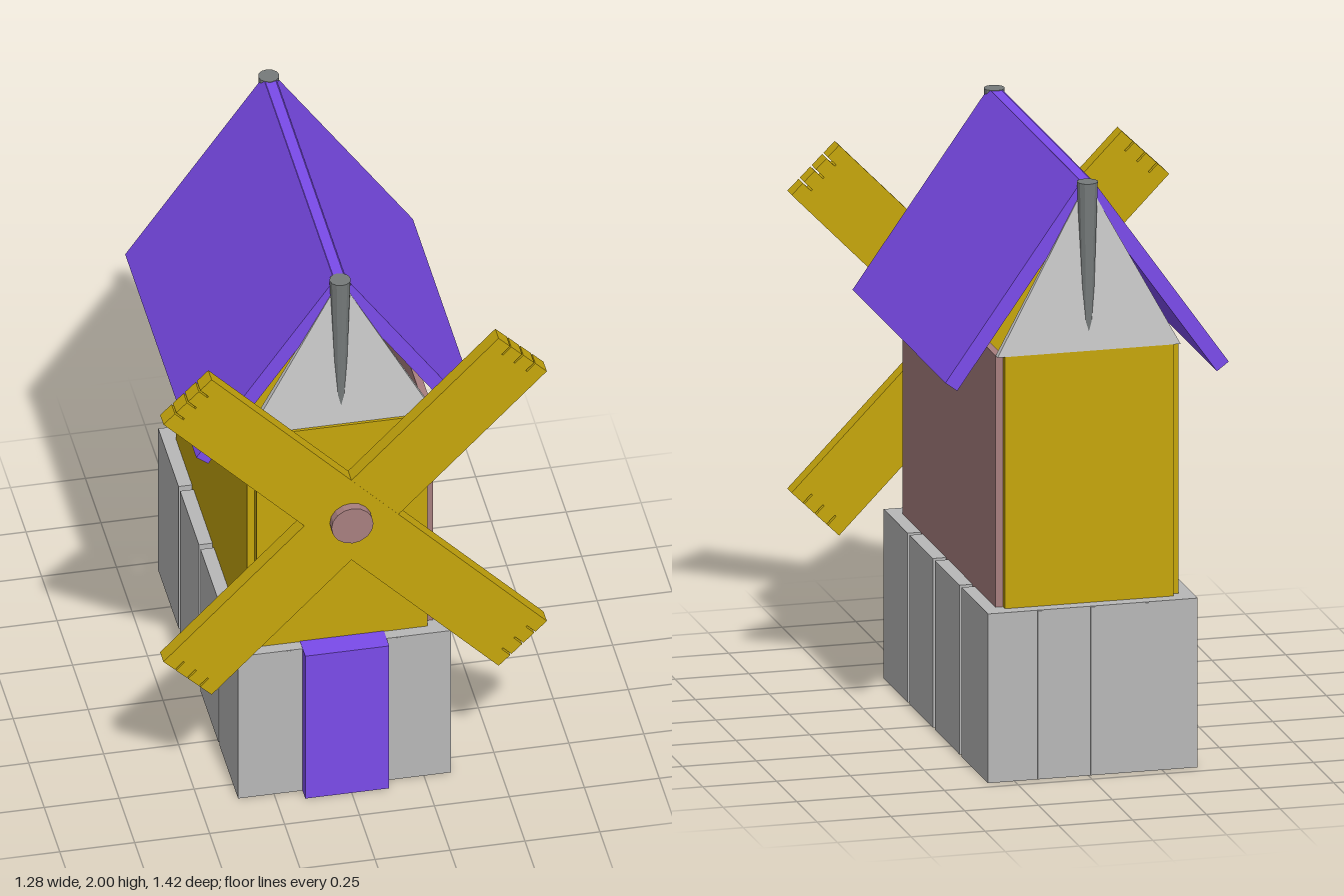
import * as THREE from 'three';

const paint = (color) => new THREE.MeshStandardMaterial({ color, flatShading: true, side: THREE.DoubleSide });
const CX = -0.015; // centre line of the house

export function createModel() {
  const root = new THREE.Group();
  const stone = paint(0xb8b8b8), wood = paint(0xc6a60c), violet = paint(0x7b4bea);
  const clay = paint(0xa87f7f), iron = paint(0x767b7b), plaster = paint(0xcccccc);

  const add = (name, geo, mat, parent = root) => {
    const m = new THREE.Mesh(geo, mat);
    m.name = name;
    parent.add(m);
    return m;
  };
  // box given by its limits on each axis
  const box = (name, mat, x0, x1, y0, y1, z0, z1, parent) => {
    const m = add(name, new THREE.BoxGeometry(x1 - x0, y1 - y0, z1 - z0), mat, parent);
    m.position.set((x0 + x1) / 2, (y0 + y1) / 2, (z0 + z1) / 2);
    return m;
  };

  // stone base: four slabs with grooves between them, on a recessed core
  const base = new THREE.Group();
  base.name = 'stoneBase';
  root.add(base);
  const cuts = [[-0.705, -0.378], [-0.353, -0.05], [-0.025, 0.262], [0.285, 0.58]];
  for (const [z0, z1] of cuts) box('baseSlab', stone, -0.37, 0.34, 0, 0.575, z0, z1, base);
  box('baseCore', stone, -0.345, 0.315, 0.035, 0.545, -0.69, 0.565, base);
  // raised joints on the two end faces
  for (const x of [-0.2, -0.015, 0.165])
    for (const z of [-0.705, 0.577]) box('baseJoint', stone, x - 0.007, x + 0.007, 0.002, 0.573, z - 0.004, z + 0.004, base);

  box('door', violet, -0.155, 0.125, 0, 0.577, 0.53, 0.625);

  // house walls
  box('frontWall', wood, -0.3, 0.27, 0.54, 1.43, 0.505, 0.54);
  box('backWall', wood, -0.3, 0.27, 0.54, 1.43, -0.66, -0.63);
  box('yellowSideWall', wood, -0.325, -0.3, 0.54, 1.43, -0.635, 0.51);
  box('claySideWall', clay, 0.27, 0.295, 0.54, 1.43, -0.635, 0.51);

  // roof slabs
  for (const s of [-1, 1]) {
    const p = [[0.02, 2.0], [0.48, 1.35], [0.44, 1.32], [-0.02, 1.97]];
    const shape = new THREE.Shape(p.map(([x, y]) => new THREE.Vector2(CX + s * x, y)));
    const g = new THREE.ExtrudeGeometry(shape, { depth: 1.145, bevelEnabled: false });
    add('roofSlab', g, violet).position.z = -0.635;
  }
  box('ridge', violet, CX - 0.02, CX + 0.02, 1.96, 1.998, -0.635, 0.51);

  // gables leaning in to the ridge, each with a tapering post
  for (const [zc, s] of [[0.505, 1], [-0.635, -1]]) {
    const shape = new THREE.Shape([[-0.31, 1.43], [0.31, 1.43], [0, 2.0]].map(([x, y]) => new THREE.Vector2(CX + x, y)));
    const g = new THREE.ExtrudeGeometry(shape, { depth: 0.025, bevelEnabled: false });
    const pos = g.attributes.position;
    for (let i = 0; i < pos.count; i++) {
      const t = (pos.getY(i) - 1.43) / 0.57;
      const lean = s > 0 ? pos.getZ(i) * (1 - t * 0.8) : pos.getZ(i) * (1 - t * 0.8) - 0.025 * (1 - t);
      pos.setZ(i, zc + lean);
    }
    g.computeVertexNormals();
    add('gable', g, plaster);
    add('gablePost', new THREE.CylinderGeometry(0.035, 0.016, 0.57, 12), iron).position.set(CX, 1.715, zc + s * 0.004);
  }

  // sails: two crossed planks with split ends
  const sails = new THREE.Group();
  sails.name = 'sails';
  root.add(sails);
  const L = 0.8, W = 0.1125, splits = [-0.056, 0, 0.056];
  const half = [];
  half.push([L, -W]);
  for (const y of splits) half.push([L, y - 0.003], [L - 0.04, y - 0.003], [L - 0.04, y + 0.003], [L, y + 0.003]);
  half.push([L, W]);
  const outline = [...half, ...half.map(([x, y]) => [-x, -y])].map(([x, y]) => new THREE.Vector2(x, y));
  for (const [s, y, z] of [[1, 1.159, 0.625], [-1, 1.134, 0.6255]]) {
    const g = new THREE.ExtrudeGeometry(new THREE.Shape(outline), { depth: 0.054, bevelEnabled: false });
    const plank = add('sailPlank', g, wood, sails);
    plank.rotation.z = s * 0.797;
    plank.position.set(0, y, z);
  }
  const axle = add('axle', new THREE.CylinderGeometry(0.07, 0.07, 0.19, 16), clay);
  axle.rotation.x = Math.PI / 2;
  axle.position.set(CX, 1.145, 0.615);

  return root;
}
